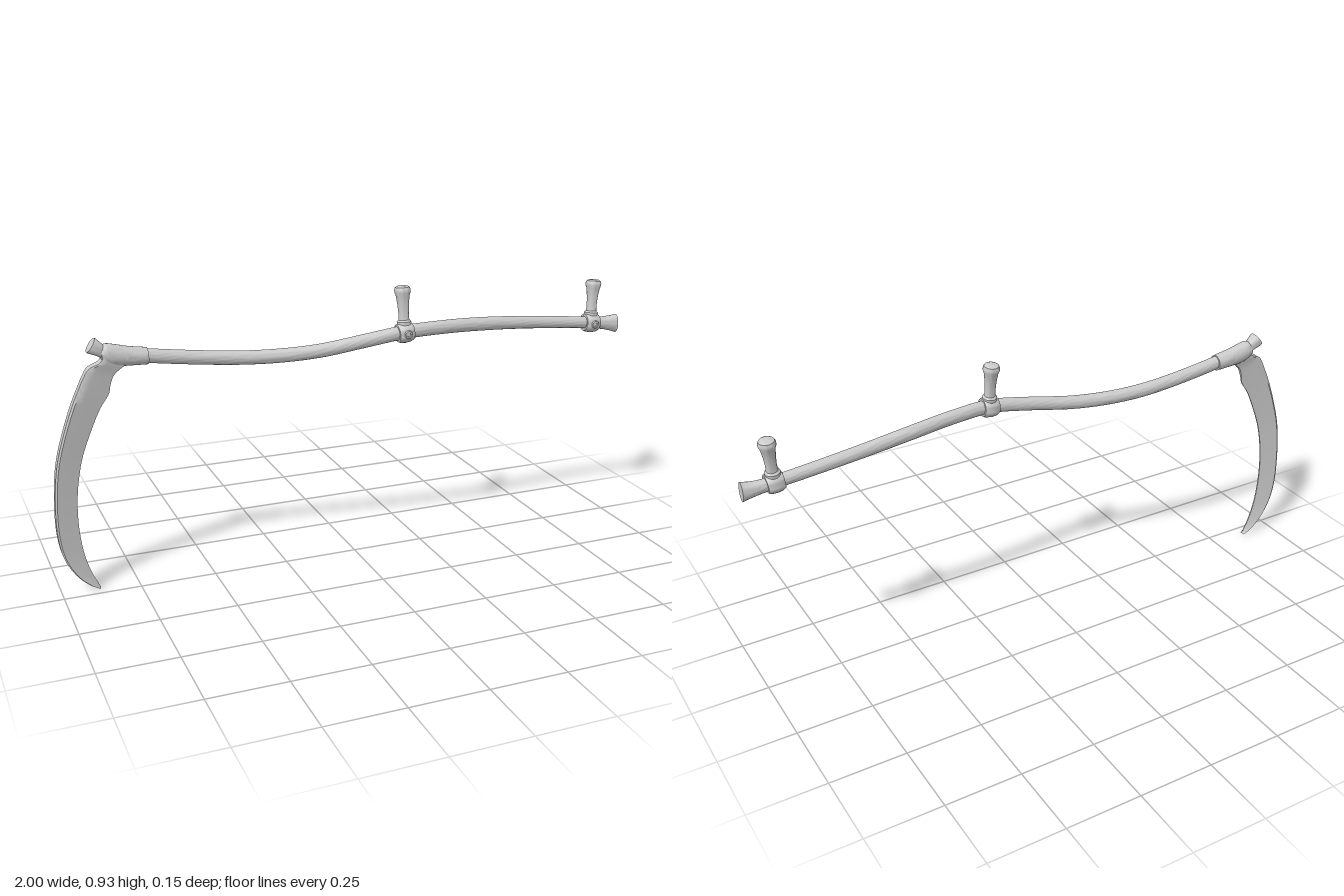
import * as THREE from 'three';
import { toCreasedNormals } from 'three/addons/utils/BufferGeometryUtils.js';

const material = new THREE.MeshStandardMaterial({ color: 0xcccccc });
const V = (x, y, z) => new THREE.Vector3(x, y, z);

function addMesh(parent, name, geometry) {
  const mesh = new THREE.Mesh(geometry, material);
  mesh.name = name;
  parent.add(mesh);
  return mesh;
}

// Skin a list of closed rings and cap both ends
function loft(rings, crease = 0.7) {
  const n = rings[0].length, pos = [];
  const tri = (...pts) => pts.forEach((p) => pos.push(p.x, p.y, p.z));
  for (let i = 0; i < rings.length - 1; i++) {
    for (let k = 0; k < n; k++) {
      const a = rings[i][k], b = rings[i][(k + 1) % n];
      const c = rings[i + 1][k], d = rings[i + 1][(k + 1) % n];
      tri(a, b, c);
      tri(b, d, c);
    }
  }
  [rings[0], rings[rings.length - 1]].forEach((ring, end) => {
    const mid = V(0, 0, 0);
    ring.forEach((p) => mid.addScaledVector(p, 1 / n));
    ring.forEach((p, k) => {
      const q = ring[(k + 1) % n];
      if (end) tri(mid, p, q); else tri(mid, q, p);
    });
  });
  const g = new THREE.BufferGeometry();
  g.setAttribute('position', new THREE.Float32BufferAttribute(pos, 3));
  return toCreasedNormals(g, crease);
}

// Oval bar running along x; stations are [x, y, z, radiusY, radiusZ]
function bar(stations, steps, sides = 24) {
  const path = new THREE.CatmullRomCurve3(stations.map((s) => V(s[0], s[1], s[2])));
  const size = new THREE.CatmullRomCurve3(stations.map((s) => V(s[0], s[3], s[4])));
  const rings = [];
  for (let i = 0; i <= steps; i++) {
    const c = path.getPoint(i / steps), r = size.getPoint(i / steps), ring = [];
    for (let k = 0; k < sides; k++) {
      const a = (k / sides) * Math.PI * 2;
      ring.push(V(c.x, c.y + r.y * Math.cos(a), c.z + r.z * Math.sin(a)));
    }
    rings.push(ring);
  }
  return loft(rings);
}

const lathe = (profile, sides = 24) =>
  toCreasedNormals(new THREE.LatheGeometry(profile.map(([r, y]) => new THREE.Vector2(r, y)), sides), 0.7);

// Grip with its collar, neck and bolt
function makeHandle(name, base, top, slopeZ, slopeY) {
  const group = new THREE.Group();
  group.name = name;
  const collar = addMesh(group, 'collar', lathe(
    [[0.022, -0.026], [0.029, -0.026], [0.033, -0.018], [0.035, 0], [0.033, 0.018], [0.029, 0.026], [0.022, 0.026]]));
  collar.position.copy(base);
  collar.quaternion.setFromUnitVectors(V(0, 1, 0), V(1, slopeY, slopeZ).normalize());

  const axis = top.clone().sub(base), len = axis.length();
  const grip = addMesh(group, 'grip', lathe([
    [0, 0.015], [0.024, 0.015], [0.024, 0.036], [0.018, 0.042], [0.017, 0.06], [0.019, len * 0.6],
    [0.023, len * 0.8], [0.027, len - 0.02], [0.027, len - 0.011], [0.024, len - 0.004], [0.016, len], [0, len]]));
  grip.position.copy(base);
  grip.quaternion.setFromUnitVectors(V(0, 1, 0), axis.normalize());

  const bolt = addMesh(group, 'bolt', lathe(
    [[0.014, 0], [0.014, 0.035], [0.012, 0.038], [0.007, 0.038], [0.006, 0.035], [0, 0.035]], 16));
  bolt.rotation.x = Math.PI / 2;
  bolt.position.copy(base);
  return group;
}

// Curved blade: thick spine outside, thin cutting edge inside.
// Rows are [outerX, outerY, innerX, innerY, half thickness]
function makeBlade() {
  const rows = [
    [-0.815, 0.785, -0.735, 0.755, 0.019],
    [-0.832, 0.762, -0.768, 0.735, 0.018],
    [-0.868, 0.745, -0.79, 0.715, 0.017],
    [-0.885, 0.72, -0.802, 0.685, 0.017],
    [-0.9, 0.69, -0.808, 0.657, 0.017],
    [-0.925, 0.635, -0.838, 0.612, 0.017],
    [-0.953, 0.56, -0.872, 0.54, 0.017],
    [-0.985, 0.45, -0.906, 0.45, 0.017],
    [-1.0, 0.33, -0.927, 0.34, 0.017],
    [-1.0, 0.2, -0.931, 0.23, 0.017],
    [-0.983, 0.12, -0.92, 0.13, 0.016],
    [-0.945, 0.055, -0.9, 0.06, 0.015],
    [-0.905, 0.018, -0.885, 0.027, 0.013],
    [-0.879, 0.002, -0.875, 0.005, 0.01],
  ];
  const outer = new THREE.CatmullRomCurve3(rows.map((r) => V(r[0], r[1], r[4])));
  const inner = new THREE.CatmullRomCurve3(rows.map((r) => V(r[2], r[3], 0)));
  const section = [[1, 0.12], [0.65, 0.45], [0.3, 0.8], [0.08, 1], [0, 0.8],
    [0, -0.8], [0.08, -1], [0.3, -0.8], [0.65, -0.45], [1, -0.12]];
  const rings = [], steps = 65;
  for (let i = 0; i <= steps; i++) {
    const o = outer.getPoint(i / steps), e = inner.getPoint(i / steps);
    // the tang is fuller than the cutting part
    const full = Math.max(0, 1 - i / 20);
    rings.push(section.map(([u, w]) => {
      const side = w + (Math.sign(w) - w) * full * 0.6;
      return V(o.x + (e.x - o.x) * u, o.y + (e.y - o.y) * u, -0.039 + side * o.z);
    }));
  }
  return loft(rings, 0.6);
}

export function createModel() {
  const model = new THREE.Group();
  model.name = 'scythe';

  // Bent wooden shaft with a flared end
  addMesh(model, 'shaft', bar([
    [-0.8, 0.783, -0.044, 0.022, 0.022], [-0.68, 0.764, -0.044, 0.023, 0.021], [-0.52, 0.742, -0.041, 0.023, 0.021],
    [-0.38, 0.728, -0.033, 0.023, 0.021], [-0.25, 0.725, -0.018, 0.023, 0.021], [-0.12, 0.733, 0.002, 0.023, 0.021],
    [0.02, 0.755, 0.023, 0.023, 0.021], [0.16, 0.775, 0.036, 0.023, 0.021], [0.3, 0.776, 0.026, 0.023, 0.021],
    [0.45, 0.769, 0.01, 0.023, 0.021], [0.62, 0.756, -0.001, 0.022, 0.02], [0.78, 0.741, -0.002, 0.021, 0.019],
    [0.9, 0.729, 0.001, 0.021, 0.018], [0.95, 0.724, 0.004, 0.023, 0.018], [0.985, 0.721, 0.008, 0.029, 0.019],
    [1.0, 0.72, 0.01, 0.033, 0.02]], 90));

  // Socket that holds the blade
  addMesh(model, 'socket', bar([
    [-0.825, 0.785, -0.044, 0.024, 0.022], [-0.81, 0.783, -0.044, 0.033, 0.026], [-0.78, 0.776, -0.044, 0.035, 0.027],
    [-0.74, 0.77, -0.044, 0.031, 0.027], [-0.68, 0.764, -0.044, 0.027, 0.027]], 24));

  // Short flared shaft end past the socket
  const knob = addMesh(model, 'shaftTip', lathe([[0, 0], [0.019, 0], [0.02, 0.025], [0.026, 0.055], [0.025, 0.06], [0, 0.06]]));
  knob.position.set(-0.805, 0.782, -0.045);
  knob.rotation.z = 0.98;

  addMesh(model, 'blade', makeBlade());

  model.add(makeHandle('middleHandle', V(0.163, 0.775, 0.037), V(0.16, 0.928, 0.02), 0, 0.07));
  model.add(makeHandle('endHandle', V(0.9, 0.73, 0.003), V(0.914, 0.88, -0.012), 0.03, -0.1));
  return model;
}
